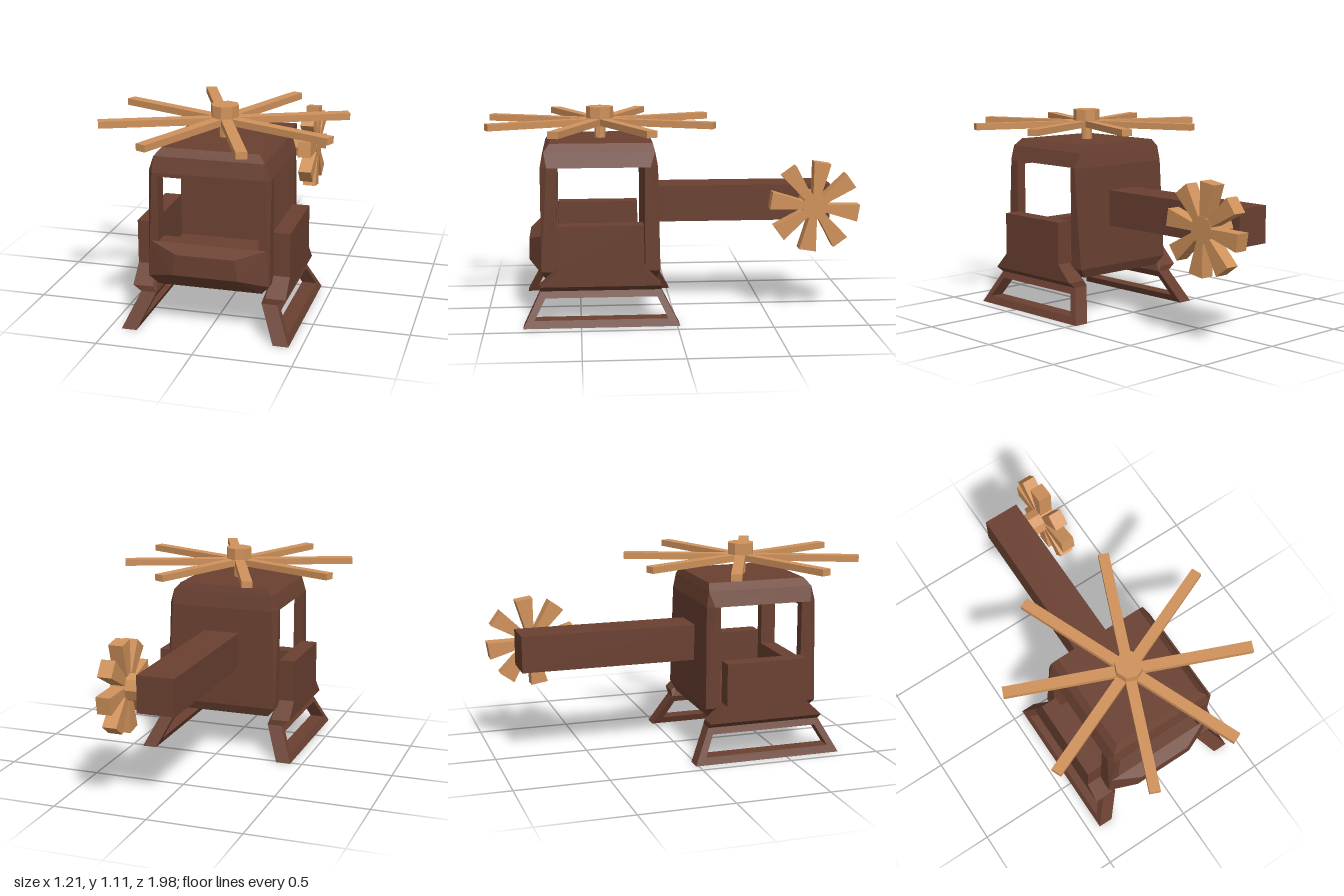
import * as THREE from 'three';
import { ConvexGeometry } from 'three/addons/geometries/ConvexGeometry.js';

const brown = new THREE.MeshStandardMaterial({ color: 0x6a4031, flatShading: true });
const wood = new THREE.MeshStandardMaterial({ color: 0xd0925b, flatShading: true });

function add(parent, name, geometry, material) {
  const mesh = new THREE.Mesh(geometry, material);
  mesh.name = name;
  parent.add(mesh);
  return mesh;
}

// Box from its minimum and maximum corners
function block(x0, x1, y0, y1, z0, z1) {
  return new THREE.BoxGeometry(x1 - x0, y1 - y0, z1 - z0)
    .translate((x0 + x1) / 2, (y0 + y1) / 2, (z0 + z1) / 2);
}

// Convex solid through horizontal rectangles [y, x0, x1, z0, z1], plus loose points
function loft(rects, extra = []) {
  const pts = extra.map((p) => new THREE.Vector3(...p));
  for (const [y, x0, x1, z0, z1] of rects)
    for (const x of [x0, x1]) for (const z of [z0, z1]) pts.push(new THREE.Vector3(x, y, z));
  return new ConvexGeometry(pts);
}

// Points repeated on both sides of the centre line
const mirrored = (list) => list.flatMap(([x, y, z]) => [[x, y, z], [-x, y, z]]);

function buildCabin() {
  const cabin = new THREE.Group();
  cabin.name = 'cabin';

  // Roof with bevelled edges and clipped corners
  add(cabin, 'roof', loft(
    [[0.90, -0.285, 0.285, 0.105, 0.685], [0.94, -0.25, 0.25, 0.115, 0.655]],
    mirrored([[0.29, 0.82, 0.705], [0.315, 0.82, 0.67], [0.315, 0.82, 0.13], [0.29, 0.82, 0.09]])
  ), brown);
  add(cabin, 'windowHeader', block(-0.27, 0.27, 0.80, 0.825, 0.62, 0.704), brown);

  // Floor tray
  add(cabin, 'floor', loft([
    [0.22, -0.27, 0.27, 0.10, 0.68],
    [0.27, -0.315, 0.315, 0.08, 0.705],
    [0.30, -0.315, 0.315, 0.08, 0.705],
  ]), brown);

  // Bulging nose below the windscreen
  add(cabin, 'nose', loft(
    [[0.27, -0.315, 0.315, 0.62, 0.705], [0.46, -0.30, 0.30, 0.62, 0.705]],
    mirrored([[0.15, 0.42, 0.77], [0.17, 0.31, 0.77], [0.27, 0.22, 0.68]])
  ), brown);

  // Back wall
  add(cabin, 'backWall', loft([], mirrored([
    [0.315, 0.27, 0.16], [0.315, 0.82, 0.16], [0.315, 0.27, 0.08],
    [0.315, 0.82, 0.13], [0.29, 0.82, 0.09],
  ])), brown);

  // Front corner pillars
  for (const s of [1, -1]) {
    add(cabin, 'frontPillar', loft([], [
      [0.26, 0.27, 0.62], [0.315, 0.27, 0.62], [0.26, 0.27, 0.705], [0.315, 0.27, 0.705],
      [0.26, 0.82, 0.62], [0.315, 0.82, 0.62], [0.26, 0.82, 0.705], [0.29, 0.82, 0.705],
      [0.315, 0.82, 0.67],
    ].map(([x, y, z]) => [s * x, y, z])), brown);
  }
  return cabin;
}

function buildSide(s) {
  const side = new THREE.Group();
  side.name = s > 0 ? 'leftSide' : 'rightSide';

  // Door panel with a flared foot
  add(side, 'doorPanel', block(Math.min(s * 0.31, s * 0.40), Math.max(s * 0.31, s * 0.40),
    0.295, 0.53, 0.17, 0.62), brown);
  add(side, 'doorFoot', loft([
    [0.30, s * 0.31, s * 0.40, 0.17, 0.62],
    [0.21, s * 0.295, s * 0.40, 0.08, 0.71],
    [0.18, s * 0.275, s * 0.36, 0.08, 0.71],
  ]), brown);

  // Skid: open trapezoid frame, leaning outwards toward the ground
  const outline = (pts) => pts.map(([z, y]) => new THREE.Vector2(-z, y));
  const shape = new THREE.Shape(outline([[0.80, 0], [-0.015, 0], [0.08, 0.18], [0.71, 0.18]]));
  shape.holes.push(new THREE.Path(outline([[0.742, 0.038], [0.685, 0.145], [0.10, 0.145], [0.047, 0.038]])));
  const thick = 0.08;
  const skid = new THREE.ExtrudeGeometry(shape, { depth: thick, bevelEnabled: false })
    .translate(0, 0, -thick / 2).rotateY(Math.PI / 2);
  const p = skid.attributes.position;
  for (let i = 0; i < p.count; i++)
    p.setX(i, p.getX(i) + s * THREE.MathUtils.lerp(0.397, 0.317, p.getY(i) / 0.18));
  skid.computeVertexNormals();
  add(side, 'skid', skid, brown);
  return side;
}

function buildMainRotor() {
  const rotor = new THREE.Group();
  rotor.name = 'mainRotor';
  rotor.position.z = 0.385;
  add(rotor, 'mast', new THREE.CylinderGeometry(0.03, 0.03, 0.12, 8), wood).position.y = 0.98;
  add(rotor, 'hub', new THREE.CylinderGeometry(0.073, 0.073, 0.1, 8), wood).position.y = 1.058;
  for (let i = 0; i < 8; i++) {
    const blade = add(rotor, 'blade', block(0.03, 0.642, 1.01, 1.045, -0.028, 0.028), wood);
    blade.rotation.y = (i + 0.5) * Math.PI / 4;
  }
  return rotor;
}

function buildTail() {
  const tail = new THREE.Group();
  tail.name = 'tail';
  add(tail, 'tailBoom', block(-0.10, 0.10, 0.49, 0.685, -0.86, 0.10), brown);

  // Side-mounted rotor with blades widening toward the tips
  const rotor = new THREE.Group();
  rotor.name = 'tailRotor';
  rotor.position.set(0, 0.587, -0.75);
  add(rotor, 'tailHub', new THREE.CylinderGeometry(0.072, 0.072, 0.165, 8)
    .rotateZ(Math.PI / 2).translate(0.1775, 0, 0), wood);
  const bladeGeometry = loft([
    [0.04, 0.182, 0.258, -0.018, 0.018],
    [0.238, 0.182, 0.258, -0.046, 0.046],
  ]);
  for (let i = 0; i < 8; i++) {
    const blade = add(rotor, 'tailBlade', bladeGeometry, wood);
    blade.rotation.x = -THREE.MathUtils.degToRad(9 + i * 45);
  }
  tail.add(rotor);
  return tail;
}

export function createModel() {
  const model = new THREE.Group();
  model.name = 'helicopter';
  model.add(buildCabin(), buildSide(1), buildSide(-1), buildMainRotor(), buildTail());
  return model;
}
